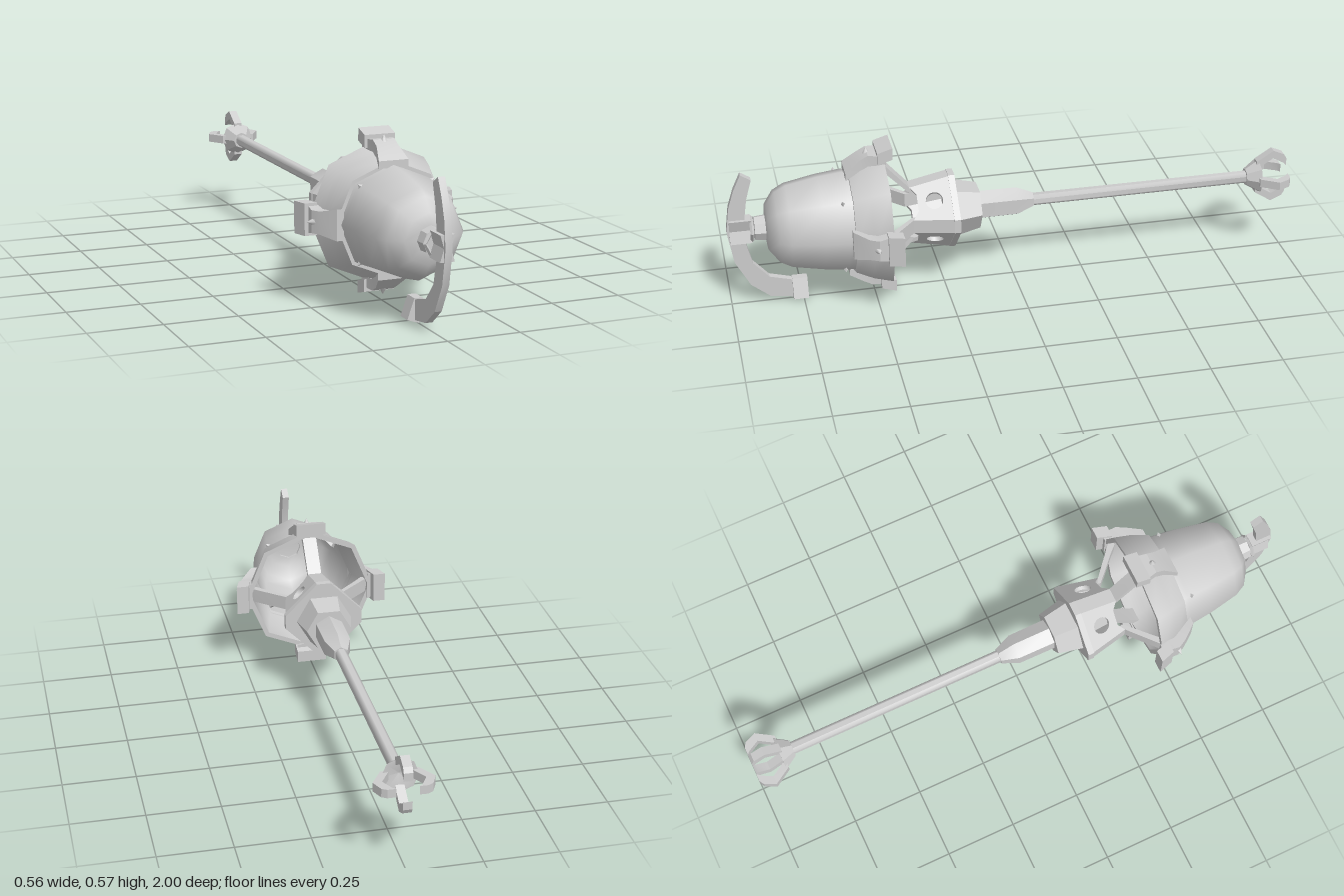
import * as THREE from 'three';
import { toCreasedNormals } from 'three/addons/utils/BufferGeometryUtils.js';

const lightGrey = new THREE.MeshStandardMaterial({ color: 0xcccccc, side: THREE.DoubleSide });
lightGrey.name = 'lightGrey';

export function createModel() {
  const model = new THREE.Group();
  model.name = 'grapplingHarpoon';
  model.position.y = 0.29; // everything is laid out around the z axis

  function add(name, geo, crease = 0.4, turn = 0) {
    const mesh = new THREE.Mesh(toCreasedNormals(geo, crease), lightGrey);
    mesh.name = name;
    mesh.rotation.z = turn;
    model.add(mesh);
    return mesh;
  }

  // The same part on four sides of the axis
  function addFour(name, geo, start = 0, crease = 0.4) {
    for (let k = 0; k < 4; k++) add(name + (k + 1), geo.clone(), crease, start + k * Math.PI / 2);
  }

  // Turned part: profile of [radius, z]; a corner lies on +y when phase is 0
  function turned(profile, sides, phase = 0) {
    const pts = profile.map(([r, z]) => new THREE.Vector2(r, z));
    return new THREE.LatheGeometry(pts, sides, phase).rotateX(Math.PI / 2);
  }

  // Bar on the +y side: sections of [outer radius, z, half width, thickness], z increasing
  function bar(sections) {
    const pos = [], idx = [];
    for (const [r, z, w, t] of sections) pos.push(-w, r, z, w, r, z, w, r - t, z, -w, r - t, z);
    const last = (sections.length - 1) * 4;
    for (let i = 0; i < last; i += 4) {
      for (let j = 0; j < 4; j++) {
        const a = i + j, b = i + (j + 1) % 4;
        idx.push(a, a + 4, b, b, a + 4, b + 4);
      }
    }
    idx.push(0, 1, 2, 0, 2, 3, last, last + 2, last + 1, last, last + 3, last + 2);
    const geo = new THREE.BufferGeometry();
    geo.setAttribute('position', new THREE.Float32BufferAttribute(pos, 3));
    geo.setIndex(idx);
    return geo;
  }

  const shapeOf = (pts) => new THREE.Shape(pts.map(([x, y]) => new THREE.Vector2(x, y)));
  const extrude = (shape, depth) =>
    new THREE.ExtrudeGeometry(shape, { depth, bevelEnabled: false, curveSegments: 8 });

  // Shaft, sleeve and collar
  add('shaft', turned([[0.022, -0.88], [0.022, -0.04]], 8, Math.PI / 8), 0.9);
  add('sleeve', turned([[0, -0.07], [0.027, -0.07], [0.053, -0.01], [0.054, 0.135]], 6));
  add('collar', turned([[0, 0.125], [0.08, 0.125], [0.1, 0.215], [0, 0.215]], 6, Math.PI / 6));

  // Crown on the rear end
  add('crownBase', turned([[0, -0.885], [0.05, -0.9], [0.062, -0.9], [0.03, -0.852], [0, -0.852]], 8));
  addFour('crownProng', bar([
    [0.065, -1, 0.015, 0.028], [0.082, -0.99, 0.015, 0.034],
    [0.1, -0.95, 0.015, 0.03], [0.062, -0.89, 0.015, 0.03],
  ]));

  // Cage: cap, pierced panels and flaring legs
  const w = 0.025, rTop = 0.14, rLow = 0.108;
  const outline = [];
  for (let k = 0; k < 4; k++) {
    const c = Math.round(Math.cos(k * Math.PI / 2)), s = Math.round(Math.sin(k * Math.PI / 2));
    for (const e of [-w, w]) outline.push([c * rTop - s * e, s * rTop + c * e]);
  }
  add('cageCap', extrude(shapeOf(outline), 0.022).translate(0, 0, 0.212));

  const inTop = (rTop + w) / Math.SQRT2, inLow = (rLow + w) / Math.SQRT2;
  const halfTop = (rTop - w) / Math.SQRT2, halfLow = (rLow - w) / Math.SQRT2;
  const slant = Math.hypot(0.15, inTop - inLow);
  const panel = shapeOf([[-halfTop, 0], [halfTop, 0], [halfLow, slant],
    [halfLow * 0.5, slant * 0.86], [-halfLow * 0.5, slant * 0.86], [-halfLow, slant]]);
  panel.holes.push(new THREE.Path().absarc(0, slant * 0.48, 0.03, 0, Math.PI * 2, true));
  const u = new THREE.Vector3(-1, 0, 0);
  const v = new THREE.Vector3(0, inLow - inTop, 0.15).normalize();
  const n = new THREE.Vector3().crossVectors(u, v);
  const place = new THREE.Matrix4().makeBasis(u, v, n).setPosition(0, inTop, 0.22);
  addFour('cagePanel', extrude(panel, 0.014).translate(0, 0, -0.014).applyMatrix4(place), Math.PI / 4);
  addFour('cageLeg', bar([
    [rTop, 0.22, w, 0.02], [rLow, 0.37, w, 0.022], [0.205, 0.455, w, 0.03], [0.228, 0.48, w, 0.03],
  ]));

  // Bell: hollow dome and flared skirt
  add('dome', turned([
    [0.183, 0.56], [0.181, 0.6], [0.172, 0.68], [0.151, 0.79],
    [0.13, 0.83], [0.085, 0.862], [0.04, 0.868], [0, 0.868],
  ], 8), 1.0);
  add('skirt', turned([
    [0.24, 0.455], [0.222, 0.52], [0.195, 0.578], [0.178, 0.578], [0.204, 0.52], [0.222, 0.455], [0.24, 0.455],
  ], 8), 0.9);

  // Clamps with end blocks and spikes
  addFour('clamp', bar([
    [0.247, 0.45, 0.05, 0.03], [0.252, 0.51, 0.038, 0.04], [0.236, 0.54, 0.038, 0.04], [0.197, 0.59, 0.052, 0.025],
  ]));
  addFour('clampBlock', bar([[0.279, 0.428, 0.054, 0.043], [0.263, 0.48, 0.054, 0.043]]));
  addFour('clampSpike', new THREE.ConeGeometry(0.02, 0.036, 8).translate(0, 0.25, 0.512), 0, 0.9);
  addFour('domeSpike', new THREE.ConeGeometry(0.022, 0.035, 4).translate(0, 0.173, 0.612), Math.PI / 4);

  // Nose and clasp
  add('nose', turned([[0.046, 0.86], [0.042, 0.905], [0, 0.905]], 8));
  add('noseRing', new THREE.TorusGeometry(0.04, 0.007, 4, 6).translate(0, 0, 0.914));
  add('clasp', extrude(shapeOf([
    [-0.025, 0.043], [-0.012, 0], [-0.025, -0.043], [0.025, -0.043], [0.012, 0], [0.025, 0.043],
  ]), 0.075).translate(0, 0, 0.915));

  // Hook: a flat blade drawn in [z, y], thick along x
  const hook = shapeOf([
    [0.94, 0.213], [0.905, 0.19], [0.925, 0.12], [0.937, 0.04], [0.94, -0.04], [0.918, -0.13],
    [0.865, -0.19], [0.785, -0.212], [0.785, -0.28], [0.865, -0.268], [0.93, -0.215],
    [0.98, -0.12], [1, 0], [0.988, 0.09], [0.967, 0.155],
  ]);
  add('hookBlade', extrude(hook, 0.024).translate(0, 0, -0.012).rotateY(-Math.PI / 2));
  add('hookTip', extrude(shapeOf([
    [-0.014, -0.208], [-0.038, -0.277], [0, -0.29], [0.038, -0.277], [0.014, -0.208],
  ]), 0.052).translate(0, 0, 0.735));

  const root = new THREE.Group();
  root.add(model);
  return root;
}
